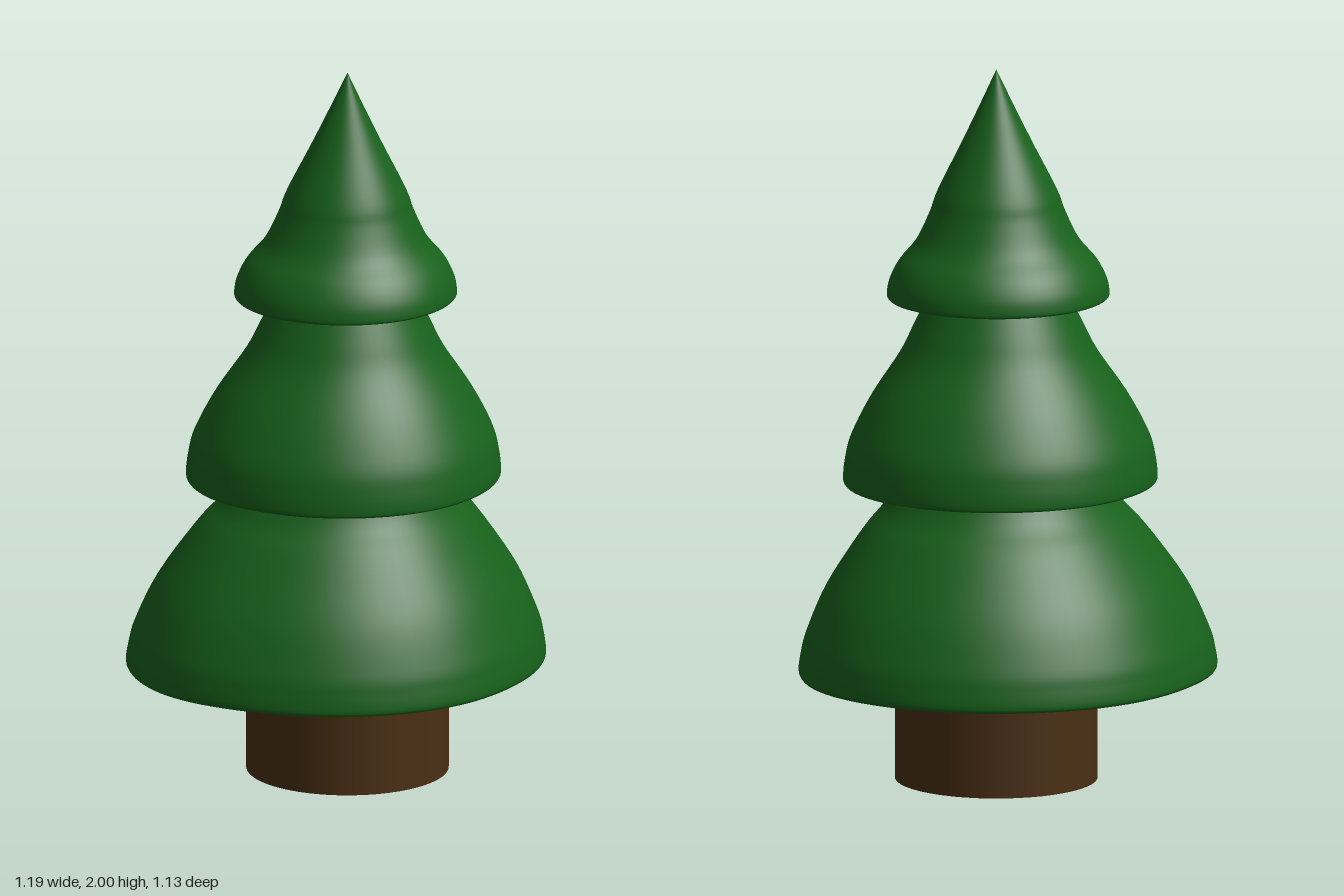
import * as THREE from 'three';
import { mergeVertices } from 'three/addons/utils/BufferGeometryUtils.js';

const CENTRE_X = 0.013, CENTRE_Z = 0.026; // trunk axis sits slightly off centre

// Uneven outline of the foliage: radius factor every 30 degrees, from +z towards +x
const OUTLINE = [0.931, 0.91, 0.948, 1.003, 1.017, 1.02, 1.022, 1.017, 1.06, 1.057, 0.985, 0.952];
const outlineCurve = new THREE.SplineCurve(
  Array.from({ length: 15 }, (_, i) => new THREE.Vector2(i - 1, OUTLINE[(i + 11) % 12])));

function outlineAt(phi) {
  const turn = ((phi / (Math.PI * 2)) % 1 + 1) % 1;
  return outlineCurve.getPoint((turn * 12 + 1) / 14).y;
}

// Turned surface pushed in and out by the uneven outline, smooth across its seam
function unevenLathe(points, strength) {
  const lathe = new THREE.LatheGeometry(points, 72);
  lathe.deleteAttribute('uv');
  lathe.deleteAttribute('normal');
  const pos = lathe.attributes.position;
  for (let i = 0; i < pos.count; i++) {
    const x = pos.getX(i), z = pos.getZ(i);
    const k = 1 + strength * (outlineAt(Math.atan2(x, z)) - 1);
    pos.setXYZ(i, x * k, pos.getY(i), z * k);
  }
  const geometry = mergeVertices(lathe, 1e-5);
  geometry.computeVertexNormals();
  return geometry;
}

// Tier profiles as [radius, height], from the lower rim up to the tip
const TIERS = [
  { name: 'lowerFoliage', strength: 1, profile: [
    [0.573, 0.305], [0.578, 0.318], [0.572, 0.36], [0.556, 0.42], [0.497, 0.55],
    [0.395, 0.70], [0.335, 0.77], [0.292, 0.84], [0.2, 1.0], [0, 1.2]] },
  { name: 'middleFoliage', strength: 0.45, profile: [
    [0.431, 0.84], [0.435, 0.852], [0.43, 0.9], [0.412, 0.97], [0.355, 1.08],
    [0.275, 1.2], [0.235, 1.28], [0.195, 1.36], [0.12, 1.5], [0, 1.65]] },
  { name: 'topFoliage', strength: 0.3, profile: [
    [0.304, 1.36], [0.308, 1.37], [0.3, 1.41], [0.274, 1.46], [0.225, 1.52],
    [0.187, 1.6], [0.165, 1.66], [0.1, 1.79], [0.047, 1.9], [0, 2]] },
];

export function createModel() {
  const tree = new THREE.Group();
  tree.name = 'tree';
  const green = new THREE.MeshStandardMaterial({ color: 0x17611b });
  const brown = new THREE.MeshStandardMaterial({ color: 0x4a2f14 });

  // Trunk, reaching a little way into the foliage
  const trunk = new THREE.Mesh(new THREE.CylinderGeometry(0.28, 0.28, 0.36, 48), brown);
  trunk.name = 'trunk';
  trunk.position.set(CENTRE_X, 0.18, CENTRE_Z);
  tree.add(trunk);

  // Three stacked foliage tiers, each with a flat underside
  for (const { name, strength, profile } of TIERS) {
    const tier = new THREE.Group();
    tier.name = name;
    tier.position.set(CENTRE_X, 0, CENTRE_Z);

    const curve = new THREE.SplineCurve(profile.map(([r, y]) => new THREE.Vector2(r, y)));
    const points = curve.getPoints(45).map((p) => new THREE.Vector2(Math.max(p.x, 0), p.y));
    const boughs = new THREE.Mesh(unevenLathe(points, strength), green);
    boughs.name = name + 'Boughs';

    const [rimRadius, rimHeight] = profile[0];
    const base = [new THREE.Vector2(0, rimHeight), new THREE.Vector2(rimRadius, rimHeight)];
    const underside = new THREE.Mesh(unevenLathe(base, strength), green);
    underside.name = name + 'Underside';

    tier.add(boughs, underside);
    tree.add(tier);
  }
  return tree;
}
